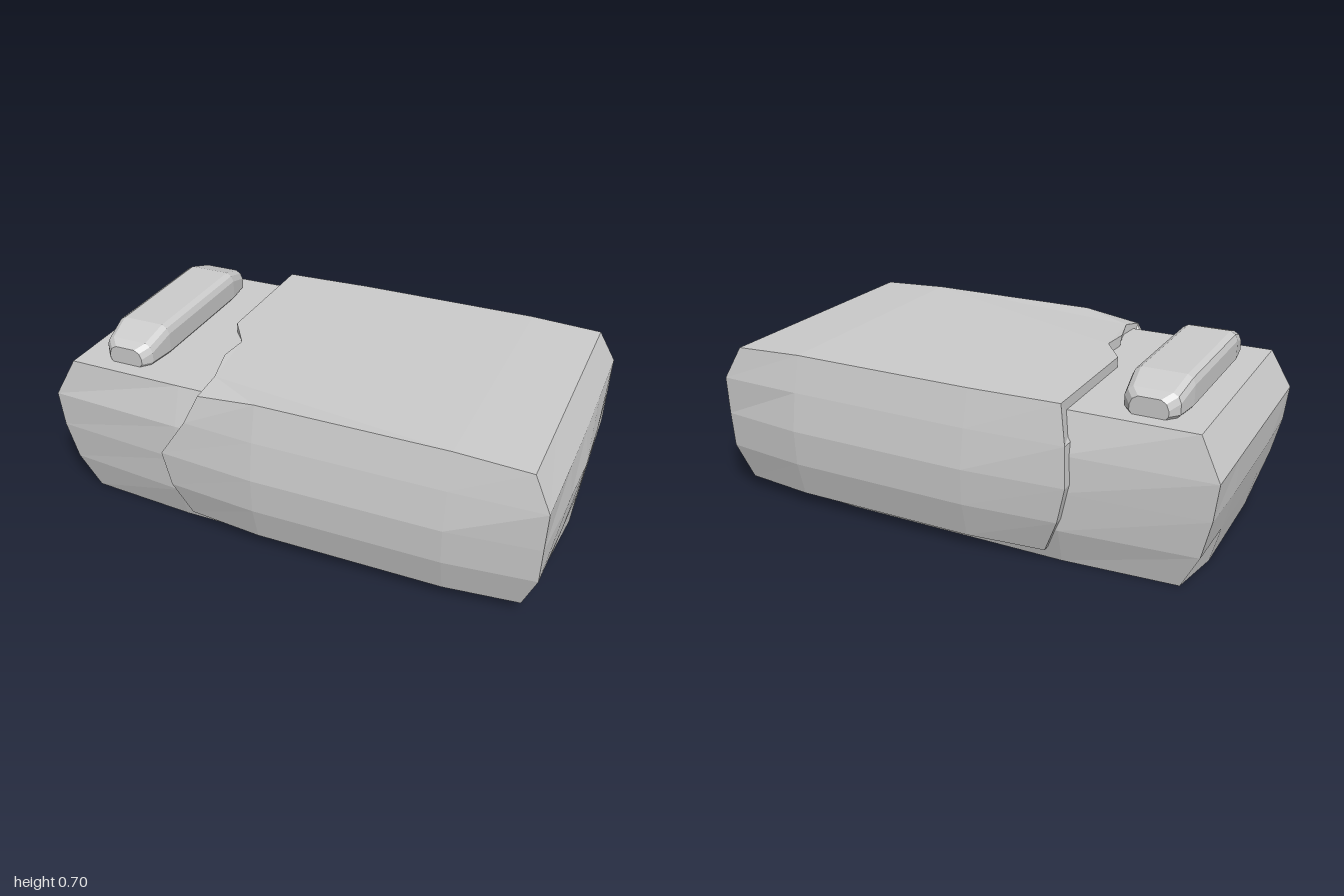
import * as THREE from 'three';

const material = new THREE.MeshStandardMaterial({ color: 0xcccccc, flatShading: true });

// Triangles for a grid of point rows
function gridTris(rows, closed = false) {
  const out = [];
  for (let j = 0; j < rows.length - 1; j++) {
    const n = rows[j].length;
    for (let i = 0; i < (closed ? n : n - 1); i++) {
      const k = (i + 1) % n;
      const a = rows[j][i], b = rows[j][k], c = rows[j + 1][k], d = rows[j + 1][i];
      out.push(a, b, c, a, c, d);
    }
  }
  return out;
}

// Fan that closes a convex ring
function fan(ring) {
  const out = [];
  for (let i = 1; i < ring.length - 1; i++) out.push(ring[0], ring[i], ring[i + 1]);
  return out;
}

// Closed loft through rings, capped at both ends
function loft(rings) {
  return [
    ...gridTris(rings, true),
    ...fan([...rings[0]].reverse()),
    ...fan(rings[rings.length - 1]),
  ];
}

function part(name, tris) {
  const geometry = new THREE.BufferGeometry();
  geometry.setAttribute('position', new THREE.Float32BufferAttribute(tris.flat(), 3));
  geometry.computeVertexNormals();
  const mesh = new THREE.Mesh(geometry, material);
  mesh.name = name;
  return mesh;
}

// Mattress: bulging outline at each height
function mattress() {
  // y, left corner x, left middle x, right corner x, right middle x, corner z, middle z
  const levels = [
    [0, -0.88, -0.92, 0.81, 0.89, 0.45, 0.48],
    [0.14, -0.95, -0.955, 0.87, 0.92, 0.475, 0.52],
    [0.29, -0.985, -0.99, 0.9, 0.92, 0.485, 0.525],
    [0.43, -1, -1, 0.9, 0.92, 0.485, 0.515],
    [0.58, -0.92, -0.92, 0.85, 0.85, 0.46, 0.465],
  ];
  return part('mattress', loft(levels.map(([y, lc, lm, rc, rm, zc, zm]) => [
    [lc, y, zc], [-0.45, y, zm], [0.45, y, zm], [rc, y, zc],
    [rm, y, 0.24], [rm, y, -0.24],
    [rc, y, -zc], [0.45, y, -zm], [-0.45, y, -zm], [lc, y, -zc],
    [lm, y, -0.24], [lm, y, 0.24],
  ])));
}

// Blanket: draped walls, top, and a thick rim along the open edges
function blanket() {
  // y, front-left x, back-left x, left z, middle z, corner z, corner x, end middle x
  const levels = [
    [0.05, -0.4, -0.4, 0.52, 0.55, 0.52, 0.91, 0.965],
    [0.19, -0.46, -0.46, 0.555, 0.585, 0.55, 0.965, 0.98],
    [0.33, -0.49, -0.49, 0.56, 0.59, 0.555, 0.97, 0.998],
    [0.48, -0.39, -0.48, 0.545, 0.565, 0.555, 0.975, 0.98],
    [0.62, -0.34, -0.45, 0.515, 0.53, 0.53, 0.91, 0.91],
  ];
  const rows = levels.map(([y, fl, bl, zl, zm, zr, xc, xm]) => {
    const top = y > 0.6;
    const ye = top ? 0.607 : y;
    return [
      [fl, top ? 0.59 : y, zl], [-0.1, y, zm], [0.63, y, zm], [xc, ye, zr],
      [(xc + xm * 2) / 3, ye, 0.24], [xm, ye, 0], [(xc + xm * 2) / 3, ye, -0.24],
      [xc, ye, -zr], [0.63, y, -zm], [-0.1, y, -zm], [bl, y, -zl],
    ];
  });
  const topRow = rows[rows.length - 1];
  // Wavy turned-back edge, from the back to the front
  const fold = [
    [-0.45, 0.62, 0], [-0.36, 0.62, 0.13], [-0.37, 0.62, 0.25], [-0.33, 0.615, 0.4],
  ];
  const outline = [...topRow, ...fold];
  const top = THREE.ShapeUtils
    .triangulateShape(outline.map(([x, , z]) => new THREE.Vector2(x, -z)), [])
    .flat().map((i) => outline[i]);

  const inner = ([x, y, z]) => [x > 0 ? x * 0.8 : x, y > 0.55 ? y - 0.1 : y, z * 0.8];
  const edge = [
    ...rows.map((r) => r[0]),
    ...[...fold].reverse(),
    ...rows.map((r) => r[r.length - 1]).reverse(),
  ];
  return part('blanket', [
    ...gridTris(rows),
    ...top,
    ...gridTris(edge.map((p) => [inner(p), p])),
    ...gridTris([rows[0].map(inner), rows[0]]),
  ]);
}

// Pillow: bevelled section, tapering towards both ends
function pillow() {
  // z, half width, top height
  const half = [[0.4, 0.07, 0.648], [0.365, 0.1, 0.667], [0.26, 0.113, 0.7]];
  const stations = [...half.map(([z, w, t]) => [-z, w, t]), ...[...half].reverse()];
  return part('pillow', loft(stations.map(([z, w, t]) => [
    [-w + 0.015, 0.575], [w - 0.015, 0.575], [w, 0.592], [w, t - 0.035],
    [w - 0.01, t - 0.012], [w - 0.03, t], [-w + 0.03, t], [-w + 0.01, t - 0.012],
    [-w, t - 0.035], [-w, 0.592],
  ].map(([x, y]) => [x - 0.717, y, z]))));
}

export function createModel() {
  const group = new THREE.Group();
  group.name = 'bed';
  group.add(mattress(), blanket(), pillow());
  return group;
}
